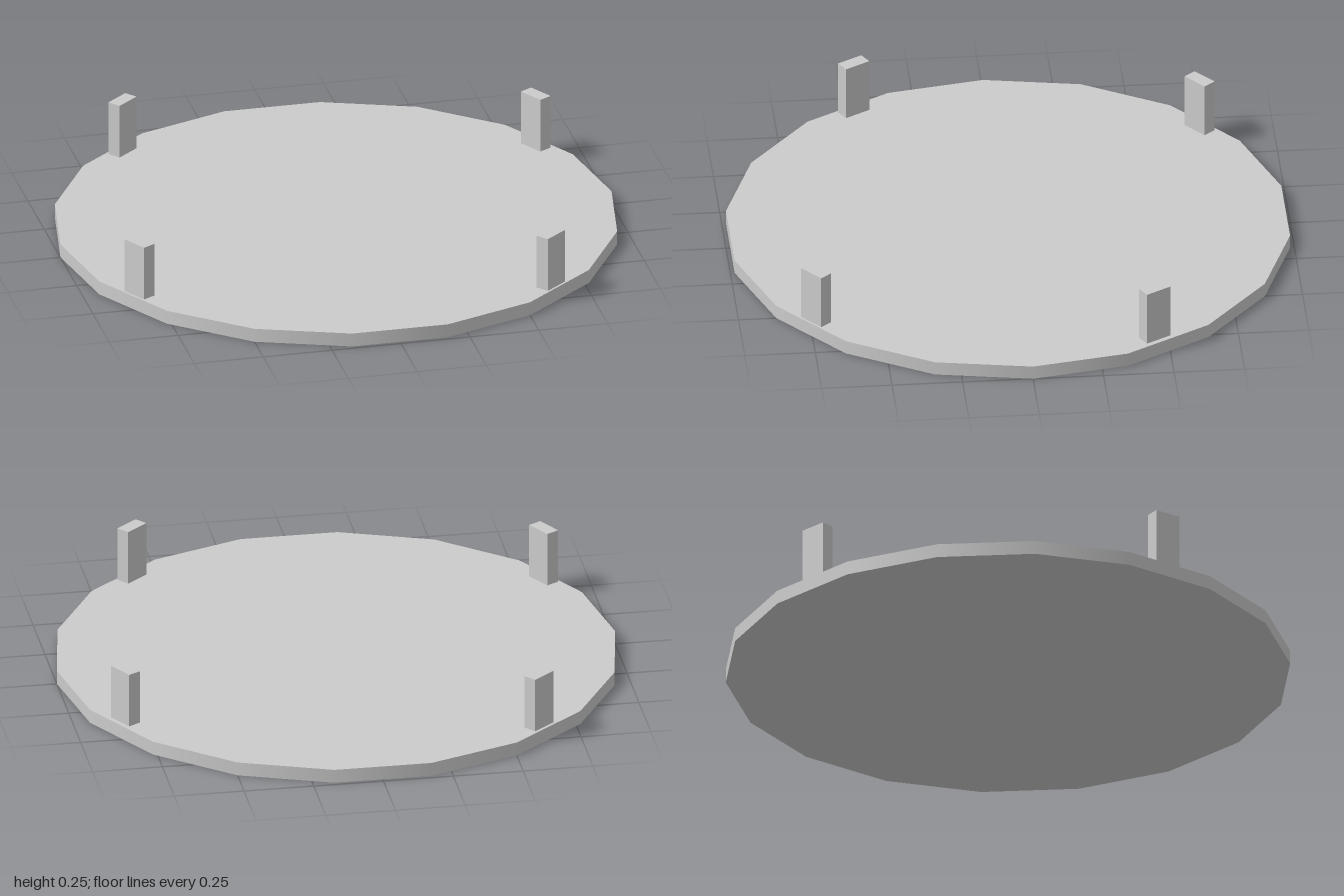
import * as THREE from 'three';

export function createModel() {
  const group = new THREE.Group();
  const material = new THREE.MeshStandardMaterial({ color: 0xcccccc });

  // Thin 18-sided disc with smooth rim, corners on the x axis
  const disc = new THREE.Mesh(
    new THREE.CylinderGeometry(1, 1, 0.05, 18, 1, false, Math.PI / 2), material);
  disc.name = 'disc';
  disc.position.y = 0.025;
  group.add(disc);

  // Four upright posts near the rim: x, z and turn in degrees
  const posts = [
    [-0.825, 0.474, -60],
    [0.83, -0.446, -60],
    [-0.602, -0.733, 40],
    [0.606, 0.734, 40],
  ];
  const postGeometry = new THREE.BoxGeometry(0.1, 0.2, 0.05);
  posts.forEach(([x, z, turn], i) => {
    const post = new THREE.Mesh(postGeometry, material);
    post.name = `post${i + 1}`;
    post.position.set(x, 0.15, z);
    post.rotation.y = THREE.MathUtils.degToRad(turn);
    group.add(post);
  });

  return group;
}
